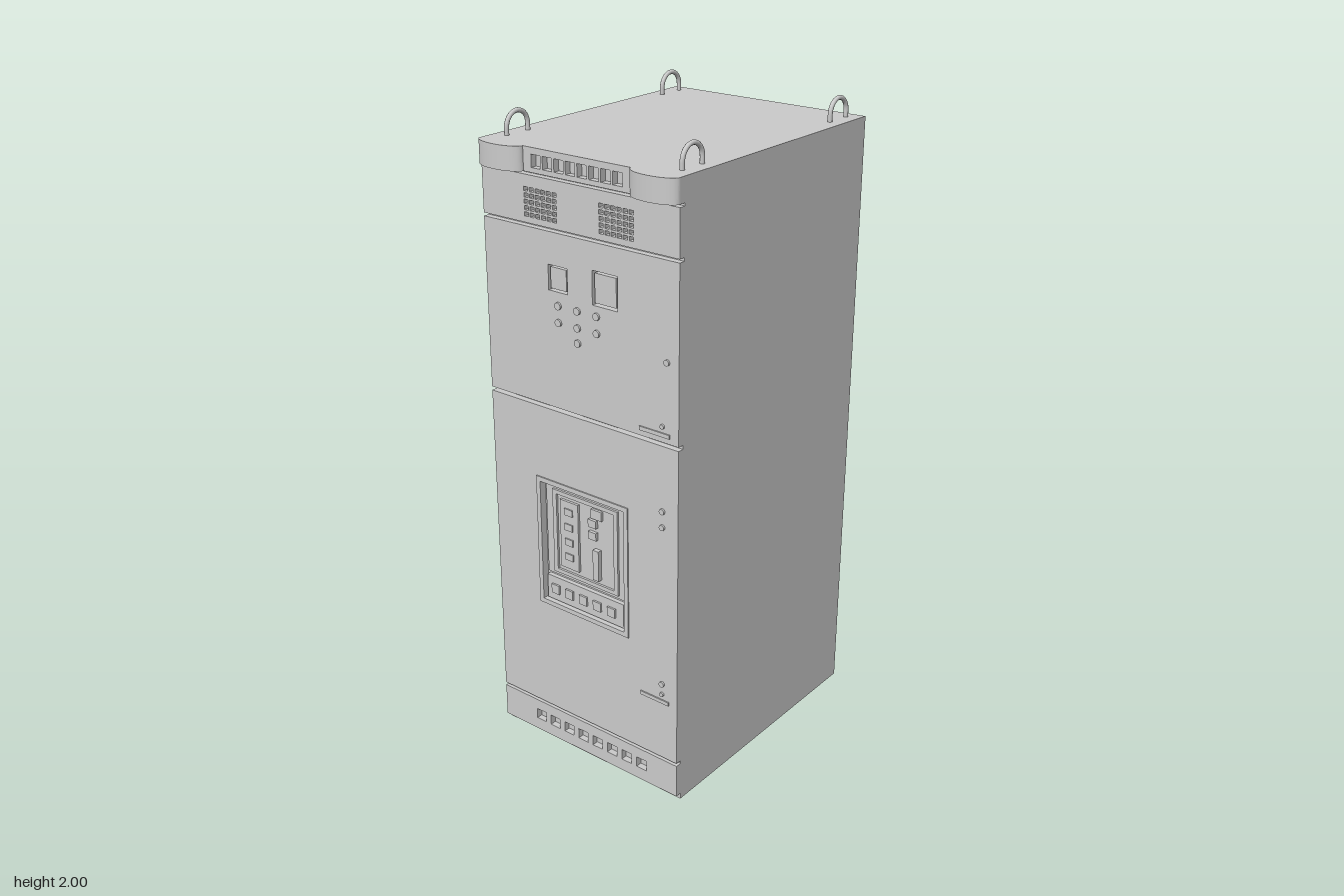
import * as THREE from 'three';

export function createModel() {
  const root = new THREE.Group();
  const mat = new THREE.MeshStandardMaterial({ color: 0xcccccc });

  const add = (name, geo, parent = root) => {
    const m = new THREE.Mesh(geo, mat);
    m.name = name;
    parent.add(m);
    return m;
  };
  const group = (name) => {
    const g = new THREE.Group();
    g.name = name;
    root.add(g);
    return g;
  };
  // Box from its limits on each axis
  const box = (name, x0, x1, y0, y1, z0, z1, parent) =>
    add(name, new THREE.BoxGeometry(x1 - x0, y1 - y0, z1 - z0)
      .translate((x0 + x1) / 2, (y0 + y1) / 2, (z0 + z1) / 2), parent);

  const rect = (a0, a1, b0, b1, T = THREE.Shape) => {
    const s = new T();
    s.moveTo(a0, b0);
    s.lineTo(a1, b0);
    s.lineTo(a1, b1);
    s.lineTo(a0, b1);
    s.closePath();
    return s;
  };
  const hole = (...r) => rect(...r, THREE.Path);
  const roundHole = (a, b, r) => {
    const p = new THREE.Path();
    p.absarc(a, b, r, 0, Math.PI * 2);
    return p;
  };
  // Plate drawn in (z, y), standing on plane x and growing towards -x
  const plate = (name, x, depth, shape, holes = [], parent) => {
    shape.holes.push(...holes);
    const g = new THREE.ExtrudeGeometry(shape, { depth, bevelEnabled: false, curveSegments: 12 });
    return add(name, g.rotateY(-Math.PI / 2).translate(x, 0, 0), parent);
  };
  // Grid of rectangular openings within limits
  const slots = (z0, z1, y0, y1, cols, rows, gap) => {
    const out = [], w = (z1 - z0) / cols, h = (y1 - y0) / rows;
    for (let i = 0; i < cols; i++) for (let j = 0; j < rows; j++)
      out.push(hole(z0 + i * w + gap, z0 + (i + 1) * w - gap, y0 + j * h + gap, y0 + (j + 1) * h - gap));
    return out;
  };

  const Z0 = -0.285, Z1 = 0.415, H = 1.93, BX = -0.41, FX = -0.43;

  // Cabinet shell, with a busbar opening in the rear wall
  box('cabinetBody', BX, 0.46, 0, H, Z0 + 0.06, Z1);
  const wall = rect(BX, 0.46, 0, H);
  wall.holes.push(hole(-0.32, 0.03, 1.745, 1.875));
  add('rearWall', new THREE.ExtrudeGeometry(wall, { depth: 0.06, bevelEnabled: false }).translate(0, 0, Z0));
  const rim = rect(-0.33, 0.04, 1.735, 1.885);
  rim.holes.push(hole(-0.32, 0.03, 1.745, 1.875));
  add('openingRim', new THREE.ExtrudeGeometry(rim, { depth: 0.004, bevelEnabled: false }).translate(0, 0, Z0 - 0.004));

  // Drilled busbars
  const bars = group('busbars');
  for (let i = 0; i < 5; i++) {
    const holes = [];
    for (const z of [-0.325, -0.385]) for (const y of [1.797, 1.845]) holes.push(roundHole(z, y, 0.007));
    plate('busbar', -0.262 + i * 0.053, 0.008, rect(-0.42, Z0 + 0.06, 1.77, 1.875), holes, bars);
  }

  // Lifting eyes on the roof
  const eyes = group('liftingEyes');
  const path = new THREE.CurvePath();
  const arch = [];
  for (let i = 0; i <= 12; i++) {
    const a = Math.PI * (1 - i / 12);
    arch.push(new THREE.Vector3(0.043 * Math.cos(a), 0.02 + 0.043 * Math.sin(a), 0));
  }
  path.add(new THREE.LineCurve3(new THREE.Vector3(-0.043, -0.005, 0), arch[0]));
  path.add(new THREE.CatmullRomCurve3(arch));
  path.add(new THREE.LineCurve3(arch[12], new THREE.Vector3(0.043, -0.005, 0)));
  for (const x of [-0.325, 0.375]) for (const z of [-0.243, 0.373])
    add('liftingEye', new THREE.TubeGeometry(path, 32, 0.007, 10), eyes).position.set(x, H, z);

  // Cornice: rounded corner blocks with a louvred strip between them
  for (const z of [-0.205, 0.335]) {
    const s = new THREE.Shape();
    s.moveTo(BX, z - 0.08);
    s.lineTo(FX, z - 0.08);
    s.absellipse(FX, z, 0.035, 0.08, -Math.PI / 2, -Math.PI * 1.5, true);
    s.lineTo(BX, z + 0.08);
    s.closePath();
    add('corniceCorner', new THREE.ExtrudeGeometry(s, { depth: 0.07, bevelEnabled: false, curveSegments: 24 })
      .rotateX(Math.PI / 2).translate(0, H, 0));
  }
  plate('corniceGrille', BX, 0.02, rect(-0.125, 0.255, 1.86, H), slots(-0.1, 0.23, 1.87, 1.915, 8, 1, 0.004));

  // Vent panel, two doors and plinth
  plate('ventPanel', BX, 0.02, rect(Z0, Z1, 1.715, 1.852),
    [...slots(-0.13, -0.005, 1.73, 1.82, 6, 5, 0.003), ...slots(0.14, 0.265, 1.73, 1.82, 6, 5, 0.003)]);
  plate('upperDoor', BX, 0.02, rect(Z0, Z1, 1.182, 1.705), [hole(-0.045, 0.025, 1.535, 1.61), hole(0.115, 0.205, 1.525, 1.625)]);
  plate('lowerDoor', BX, 0.02, rect(Z0, Z1, 0.14, 1.17), [hole(-0.1, 0.22, 0.525, 0.925)]);
  plate('plinth', BX, 0.02, rect(Z0, Z1, 0.02, 0.13), slots(-0.16, 0.31, 0.05, 0.105, 8, 1, 0.01));

  // Meters and push buttons on the upper door
  box('smallMeter', -0.427, BX, 1.541, 1.604, -0.039, 0.019);
  box('largeMeter', -0.427, BX, 1.532, 1.618, 0.122, 0.198);
  const button = (y, z, r, parent) =>
    add('pushButton', new THREE.CylinderGeometry(r, r, 0.012, 16).rotateZ(Math.PI / 2).translate(FX, y, z), parent);
  const buttons = group('doorButtons');
  for (const z of [-0.01, 0.06, 0.13]) for (const y of [1.495, 1.445]) button(y, z, 0.011, buttons);
  button(1.4, 0.06, 0.011, buttons);

  // Door locks and latch strips
  const locks = group('doorLocks');
  for (const [y, z] of [[1.42, 0.375], [0.97, 0.36], [0.92, 0.36], [0.4, 0.36]]) button(y, z, 0.009, locks);
  for (const y of [1.205, 0.34]) {
    box('latchStrip', -0.434, FX, y - 0.006, y + 0.006, 0.28, 0.385, locks);
    button(y + 0.025, 0.36, 0.007, locks);
  }

  // Circuit breaker set in the lower door
  const cb = group('circuitBreaker');
  plate('breakerBezel', FX, 0.004, rect(-0.115, 0.235, 0.51, 0.94), [hole(-0.1, 0.22, 0.525, 0.925)], cb);
  box('breakerFace', -0.418, BX, 0.62, 0.918, -0.09, 0.21, cb);
  plate('breakerInnerFrame', -0.418, 0.007, rect(-0.06, 0.19, 0.632, 0.91), [hole(-0.045, 0.175, 0.645, 0.897)], cb);
  box('tripUnit', -0.426, -0.418, 0.66, 0.885, -0.03, 0.04, cb);
  for (let i = 0; i < 4; i++)
    box('tripUnitKey', -0.43, -0.426, 0.69 + i * 0.05, 0.712 + i * 0.05, -0.01, 0.02, cb);
  box('indicatorWindow', -0.426, -0.418, 0.86, 0.89, 0.09, 0.13, cb);
  for (const y of [0.79, 0.83]) box('breakerButton', -0.428, -0.418, y, y + 0.025, 0.08, 0.11, cb);
  box('chargingHandle', -0.432, -0.418, 0.66, 0.76, 0.1, 0.122, cb);
  box('controlStrip', -0.424, BX, 0.53, 0.61, -0.09, 0.21, cb);
  for (let i = 0; i < 5; i++)
    box('controlKey', -0.43, -0.424, 0.555, 0.585, -0.07 + i * 0.055, -0.04 + i * 0.055, cb);

  return root;
}
